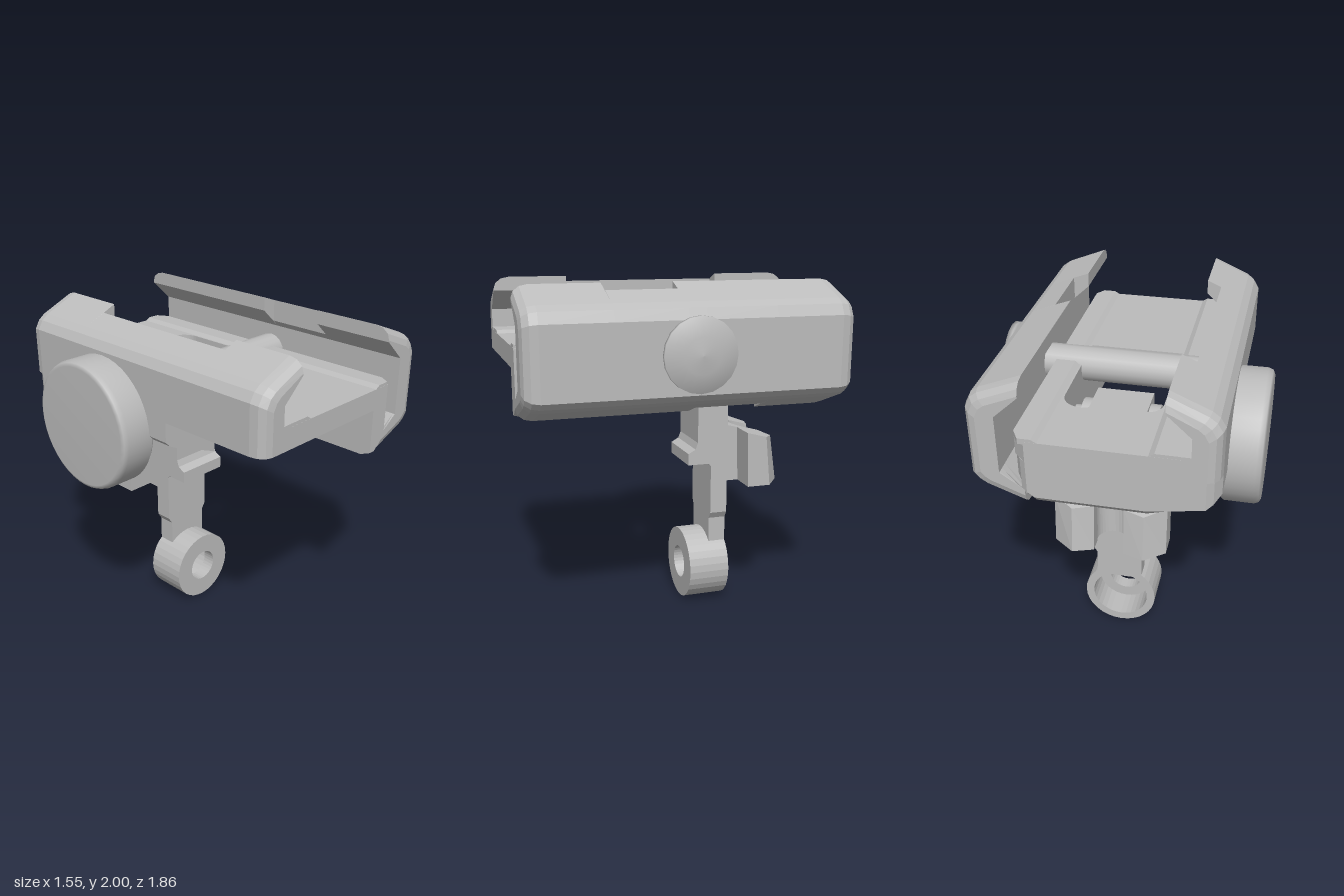
import * as THREE from 'three';

const gray = new THREE.MeshStandardMaterial({ color: 0xbcbcbc });
gray.name = 'plain gray';

const shapeOf = pts => new THREE.Shape(pts.map(p => new THREE.Vector2(p[0], p[1])));

// Extrudes an x-y profile through slices [z, rule]; each rule may move that slice's points.
function sliced(pts, slices) {
  const n = slices.length - 1;
  const g = new THREE.ExtrudeGeometry(shapeOf(pts), { depth: 1, steps: n, bevelEnabled: false });
  const p = g.attributes.position;
  for (let i = 0; i < p.count; i++) {
    const [z, rule] = slices[Math.round(p.getZ(i) * n)];
    const [x, y] = rule ? rule(p.getX(i), p.getY(i)) : [p.getX(i), p.getY(i)];
    p.setXYZ(i, x, y, z);
  }
  g.computeVertexNormals();
  return g;
}

// Extrudes a plan outline given as a Shape in (x, -z), from y0 to y1.
function plan(shape, y0, y1) {
  const g = new THREE.ExtrudeGeometry(shape, { depth: y1 - y0, bevelEnabled: false, curveSegments: 8 });
  return g.rotateX(-Math.PI / 2).translate(0, y0, 0);
}

// Extrudes a (z, y) side outline from x0 to x1.
function side(pts, x0, x1) {
  const g = new THREE.ExtrudeGeometry(shapeOf(pts), { depth: x1 - x0, bevelEnabled: false });
  return g.rotateY(-Math.PI / 2).translate(x1, 0, 0);
}

// Cylinder along x, and a general turned part.
const rod = (r, x0, x1, y, z, n = 24) =>
  new THREE.CylinderGeometry(r, r, x1 - x0, n).rotateZ(-Math.PI / 2).translate((x0 + x1) / 2, y, z);
const turned = (pts, n) => new THREE.LatheGeometry(pts.map(p => new THREE.Vector2(p[0], p[1])), n);

// Slices that round both ends of a jaw by shrinking its outer outline, with notches between.
// lip: x of the lip edge, width: lip to outer face, inner: reach of the inner outline, yMid: fixed height
function jawSlices(lip, width, inner, yMid, notches) {
  const r = 0.09;
  const ends = [0, 30, 60, 90].map(d => {
    const a = d * Math.PI / 180, inset = 0.07 * (1 - Math.cos(a));
    const rule = (x, y) => Math.abs(x) < inner && y > 1.33 && y < 1.95 ? [x, y] : [
      lip + (x - lip) * (1 - inset / width),
      yMid + (y - yMid) * (1 - inset / (2 - yMid))];
    return [0.93 - r * (1 - Math.sin(a)), rule];
  });
  const mid = [];
  for (const [z0, z1, rule] of notches)
    mid.push([z0 - 0.001, null], [z0, rule], [z1, rule], [z1 + 0.001, null]);
  return [...ends.map(([z, f]) => [-z, f]).reverse(), ...mid, ...ends];
}

export function createModel() {
  const model = new THREE.Group();
  const add = (name, geometry) => {
    const m = new THREE.Mesh(geometry, gray);
    m.name = name;
    model.add(m);
  };

  // Fixed jaw, its lip cut back in the middle
  const fixedNotch = (x, y) => x > -0.33 && y > 1.85 ? [-0.40, y > 1.95 ? 1.965 : 1.85] : [x, y];
  add('fixedJaw', sliced([
    [-0.32, 2], [-0.53, 1.91], [-0.57, 1.88], [-0.6, 1.83], [-0.6, 1.555],
    [-0.4, 1.555], [-0.4, 1.693], [-0.45, 1.693], [-0.45, 1.8], [-0.32, 1.92],
  ], jawSlices(-0.32, 0.28, 0.46, 1.555, [[-0.47, 0.49, fixedNotch]])));

  // Sliding jaw, notched on its upper and lower lips
  const topNotch = (x, y) => x < 0.41 && y > 1.85 ? [0.49, y > 1.95 ? 1.967 : 1.84] : [x, y];
  const lowNotch = (x, y) => x < 0.41 && y < 1.35 ? [0.49, y < 1.3 ? 1.31 : 1.42] : [x, y];
  add('slidingJaw', sliced([
    [0.4, 2], [0.63, 1.91], [0.67, 1.88], [0.7, 1.82], [0.7, 1.42], [0.67, 1.385], [0.63, 1.36],
    [0.4, 1.275], [0.4, 1.32], [0.53, 1.47], [0.53, 1.8], [0.4, 1.92],
  ], jawSlices(0.4, 0.3, 0.54, 1.64, [[-0.45, -0.05, lowNotch], [0.05, 0.45, topNotch]])));

  // Deck with a window that ends in two round lobes
  const deck = shapeOf([[-0.5, -0.93], [0.43, -0.93], [0.46, -0.87], [0.46, 0.86], [0.39, 0.93], [-0.5, 0.93]]);
  const hole = new THREE.Path();
  hole.moveTo(-0.23, -0.16);
  hole.lineTo(0.31, -0.16);
  hole.lineTo(0.31, 0.44);
  hole.absarc(0.2, 0.44, 0.11, 0, Math.PI, false);
  hole.lineTo(-0.05, 0.44);
  hole.absarc(-0.14, 0.44, 0.09, 0, Math.PI, false);
  hole.lineTo(-0.23, -0.16);
  deck.holes.push(hole);
  add('deck', plan(deck, 1.555, 1.675));
  for (const [name, pts] of [
    ['deckEdgeRight', [[-0.45, 1.66], [-0.24, 1.66], [-0.24, 1.675], [-0.27, 1.693], [-0.45, 1.693]]],
    ['deckEdgeLeft', [[0.32, 1.66], [0.46, 1.66], [0.46, 1.692], [0.35, 1.692], [0.32, 1.675]]],
  ]) {
    const trim = (x, y) => [Math.min(x, 0.42), y];
    add(name, sliced(pts, [[-0.929, trim], [-0.86, null], [0.87, null], [0.929, trim]]));
  }

  // Lower body: two rails either side of the open channel, closed at the back
  const rightLower = [[-0.6, 1.556], [-0.6, 1.44], [-0.57, 1.41], [-0.53, 1.39], [-0.23, 1.27]];
  const leftLower = [[0.31, 1.275], [0.35, 1.285], [0.44, 1.37], [0.46, 1.42], [0.46, 1.556]];
  const squeeze = i => (x, y) => [
    THREE.MathUtils.clamp(x, -0.6 + i, 0.46 - i), Math.max(y, 1.27 + i)];
  add('railRight', sliced([...rightLower, [-0.23, 1.556]], [[-0.45, null], [0.25, null]]));
  add('railLeft', sliced([...leftLower, [0.31, 1.556]], [[-0.45, null], [0.87, null], [0.93, squeeze(0.03)]]));
  add('backBlock', sliced([...rightLower, ...leftLower],
    [[-0.93, squeeze(0.07)], [-0.9, squeeze(0.035)], [-0.84, null], [-0.44, null]]));

  // Cross bar with its domed button
  add('crossBar', rod(0.1, -0.46, 0.6, 1.64, 0, 16));
  add('button', turned([[0, 0], [0.17, 0], [0.205, 0.02], [0.205, 0.045], [0.1, 0.068], [0, 0.077]], 20)
    .rotateZ(-Math.PI / 2).translate(0.695, 1.64, 0));

  // Hollow thumb wheel and hub
  add('thumbWheel', turned([
    [0, 0.12], [0.33, 0.12], [0.345, 0], [0.36, 0], [0.375, 0.02], [0.375, 0.185], [0.365, 0.21], [0.345, 0.22], [0, 0.22],
  ], 40).rotateZ(Math.PI / 2).translate(-0.56, 1.435, -0.255));
  add('wheelHub', rod(0.165, -0.68, -0.23, 1.435, -0.255));

  // Hinge pin and collar
  add('hingePin', rod(0.075, -0.24, 0.32, 1.425, -0.255));
  add('hingeCollar', rod(0.12, -0.18, 0.26, 1.425, -0.255));

  // Swing arm
  add('arm', side([
    [-0.13, 1.56], [-0.13, 1.36], [-0.18, 1.26], [-0.18, 1.03], [-0.165, 0.99], [-0.12, 0.965], [-0.12, 0.895],
    [-0.25, 0.895], [-0.265, 0.88], [-0.265, 0.58], [-0.37, 0.58], [-0.37, 1.56],
  ], -0.12, 0.205));
  add('armNeck', sliced(
    [[-0.12, 0.58], [-0.095, 0.54], [-0.095, 0.37], [0.18, 0.37], [0.18, 0.54], [0.205, 0.58]],
    [[-0.37, null], [-0.265, null]]));

  // Fork behind the arm: slanted top and leaning back faces
  const forkShape = shapeOf([
    [-0.28, 0.44], [-0.12, 0.44], [-0.12, 0.36], [0.205, 0.36], [0.205, 0.44], [0.37, 0.44],
    [0.37, 0.58], [0.25, 0.67], [0.13, 0.63], [0.13, 0.55]]);
  forkShape.absarc(0.045, 0.53, 0.09, 0.2, Math.PI - 0.2, true);
  for (const p of [[-0.04, 0.63], [-0.16, 0.67], [-0.28, 0.58]]) forkShape.lineTo(...p);
  const fork = plan(forkShape, 0.78, 1.13);
  const fp = fork.attributes.position;
  for (let i = 0; i < fp.count; i++) {
    if (fp.getY(i) < 1) continue;
    const z = -0.36 + (fp.getZ(i) + 0.36) * 0.87;
    fp.setY(i, 1.13 + (z + 0.36) * 0.27);
    fp.setZ(i, z);
  }
  fork.computeVertexNormals();
  add('fork', fork);

  // End eye with a counterbored hole
  const eye = turned([
    [0.1, -0.17], [0.22, -0.17], [0.22, 0.08], [0.17, 0.08], [0.17, -0.09], [0.1, -0.09], [0.1, -0.17],
  ], 32).toNonIndexed();
  eye.computeVertexNormals();
  add('endEye', eye.rotateX(-Math.PI / 2).translate(0.04, 0.22, -0.29));

  return model;
}
